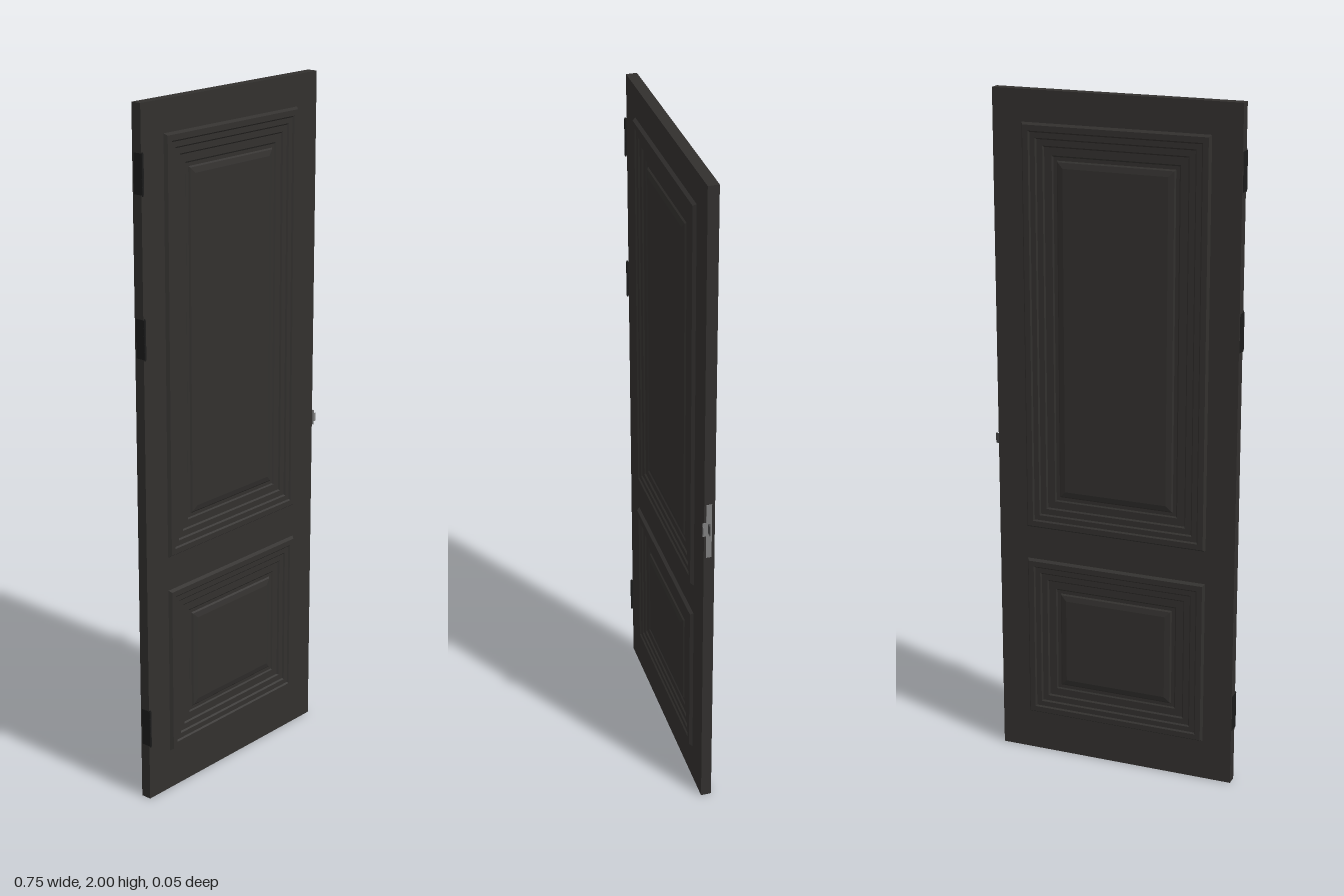
import * as THREE from 'three';

const paint = new THREE.MeshStandardMaterial({ color: 0x32302e, flatShading: true });
const hingeMetal = new THREE.MeshStandardMaterial({ color: 0x1c1c1c });
const lockMetal = new THREE.MeshStandardMaterial({ color: 0x808080 });
const boltMetal = new THREE.MeshStandardMaterial({ color: 0x4a4a4a });

const BACK = -0.017, FRONT = 0.014;

// Panel openings: x0, x1, y0, y1
const PANELS = {
  upperPanel: [-0.285, 0.268, 0.72, 1.91],
  lowerPanel: [-0.285, 0.268, 0.12, 0.62],
};

// Moulding profile: [inset from the opening edge, height above the door face]
const PROFILE = [
  [0, 0], [0.006, 0.009], [0.022, 0.009], [0.026, 0.005], [0.041, 0.005],
  [0.045, 0.001], [0.062, 0.001], [0.066, -0.003], [0.088, -0.003],
  [0.092, -0.006], [0.102, -0.006], [0.106, -0.002], [0.122, 0.002],
];

function add(parent, name, geometry, material, x = 0, y = 0, z = 0) {
  const mesh = new THREE.Mesh(geometry, material);
  mesh.name = name;
  mesh.position.set(x, y, z);
  parent.add(mesh);
  return mesh;
}

// Rectangular rings stepping inward along the profile, closed by a flat field
function panelGeometry([x0, x1, y0, y1], face, side) {
  const pos = [], index = [];
  for (const [d, h] of PROFILE) {
    const z = face + side * h;
    pos.push(x0 + d, y0 + d, z, x1 - d, y0 + d, z, x1 - d, y1 - d, z, x0 + d, y1 - d, z);
  }
  const tri = (a, b, c) => (side > 0 ? index.push(a, b, c) : index.push(a, c, b));
  for (let r = 0; r < PROFILE.length - 1; r++) {
    for (let k = 0; k < 4; k++) {
      const a = r * 4 + k, b = r * 4 + (k + 1) % 4;
      tri(a, b, b + 4);
      tri(a, b + 4, a + 4);
    }
  }
  const f = (PROFILE.length - 1) * 4;
  tri(f, f + 1, f + 2);
  tri(f, f + 2, f + 3);
  const g = new THREE.BufferGeometry();
  g.setAttribute('position', new THREE.Float32BufferAttribute(pos, 3));
  g.setIndex(index);
  const flat = g.toNonIndexed();
  flat.computeVertexNormals();
  return flat;
}

function rectPoints(x0, x1, y0, y1) {
  return [[x0, y0], [x1, y0], [x1, y1], [x0, y1]].map(([x, y]) => new THREE.Vector2(x, y));
}

export function createModel() {
  const door = new THREE.Group();
  door.name = 'door';

  // Slab with the two panel openings
  const outline = new THREE.Shape(rectPoints(-0.372, 0.355, 0, 2));
  for (const p of Object.values(PANELS)) outline.holes.push(new THREE.Path(rectPoints(...p).reverse()));
  const slab = new THREE.ExtrudeGeometry(outline, { depth: FRONT - BACK, bevelEnabled: false });
  add(door, 'slab', slab, paint, 0, 0, BACK);

  // Moulded panels on both faces
  for (const [name, rect] of Object.entries(PANELS)) {
    add(door, name + 'Front', panelGeometry(rect, FRONT, 1), paint);
    add(door, name + 'Back', panelGeometry(rect, BACK, -1), paint);
  }

  // Three hinges on the right edge
  for (const y of [0.223, 1.37, 1.815]) {
    const hinge = new THREE.Group();
    hinge.name = 'hinge';
    hinge.position.set(-0.371, y, 0);
    add(hinge, 'hingeLeaf', new THREE.BoxGeometry(0.002, 0.11, 0.03), hingeMetal, -0.001, 0, 0.003);
    for (let i = -2; i <= 2; i++) {
      add(hinge, 'hingeKnuckle', new THREE.CylinderGeometry(0.0033, 0.0033, 0.021, 12), hingeMetal, 0, i * 0.022, 0.018);
    }
    add(hinge, 'hingePin', new THREE.CylinderGeometry(0.002, 0.002, 0.116, 10), hingeMetal, 0, 0, 0.018);
    door.add(hinge);
  }

  // Latch plate, sloped bolt and strike lip on the left edge
  const latch = new THREE.Group();
  latch.name = 'latch';
  latch.position.set(0.355, 0.965, 0);
  add(latch, 'latchPlate', new THREE.BoxGeometry(0.002, 0.175, 0.016), lockMetal, 0.001, 0, 0);
  const wedge = new THREE.Shape([[0, -0.003], [0.017, -0.003], [0.017, -0.001], [0, 0.005]].map(([x, y]) => new THREE.Vector2(x, y)));
  const bolt = new THREE.ExtrudeGeometry(wedge, { depth: 0.03, bevelEnabled: false });
  bolt.rotateX(-Math.PI / 2);
  add(latch, 'latchBolt', bolt, boltMetal, 0, -0.005, 0);
  add(latch, 'strikePlate', new THREE.BoxGeometry(0.001, 0.045, 0.02), lockMetal, 0.002, 0.008, 0.009);
  add(latch, 'strikeLip', new THREE.BoxGeometry(0.009, 0.025, 0.001), lockMetal, 0.0065, 0.008, 0.0185);
  door.add(latch);

  return door;
}
